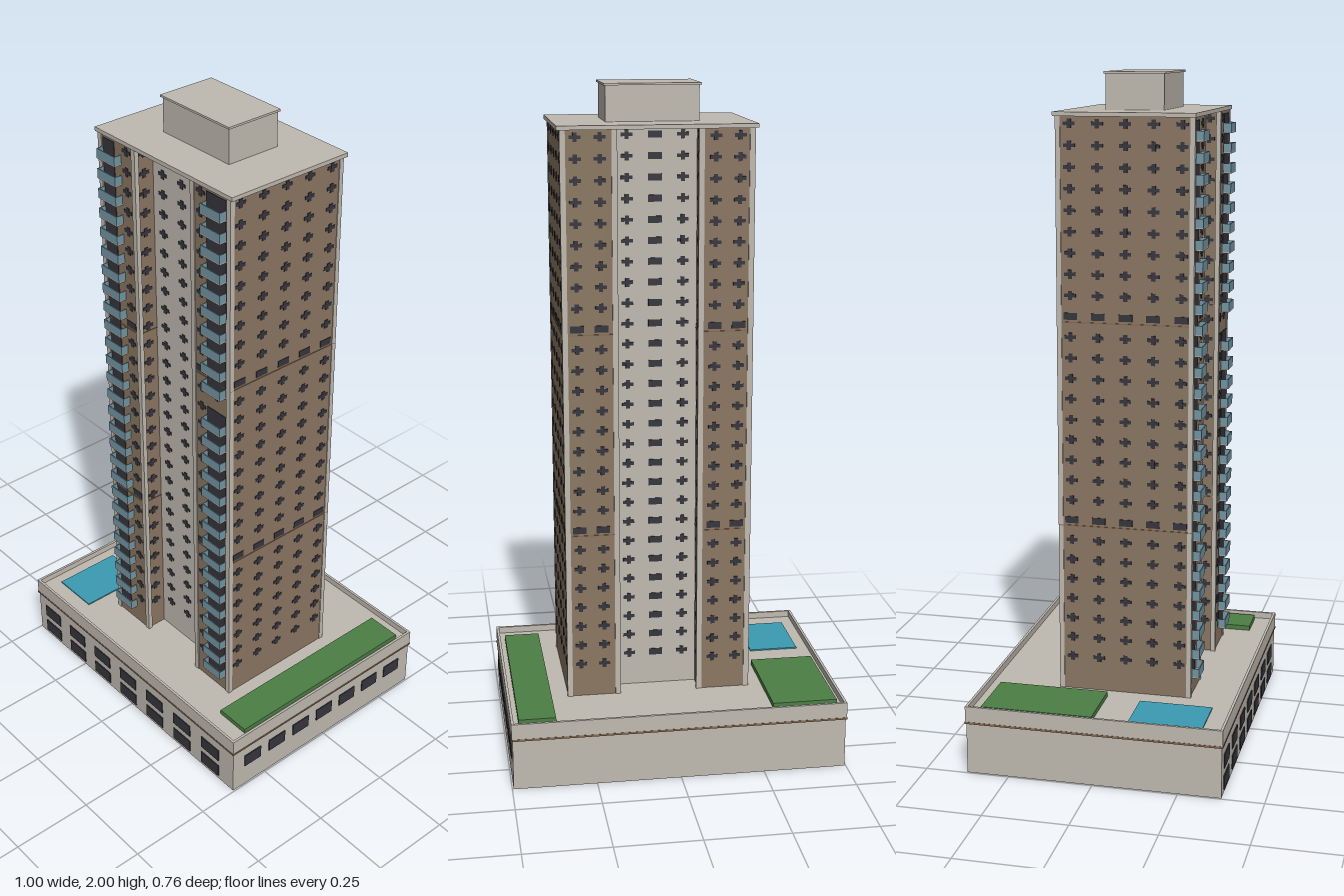
import * as THREE from 'three';
import { mergeGeometries } from 'three/addons/utils/BufferGeometryUtils.js';

const mat = (name, color, side = THREE.FrontSide) => {
  const m = new THREE.MeshStandardMaterial({ color, side });
  m.name = name;
  return m;
};

export function createModel() {
  const concrete = mat('pale concrete', 0xc0bab0);
  const brick = mat('brown cladding', 0x8b7762);
  const trim = mat('brown trim', 0x85694f);
  const dark = mat('dark window', 0x35353d);
  const glass = mat('balcony glass', 0x7396a3);
  const grass = mat('lawn green', 0x4d7f45);
  const water = mat('pool water', 0x3a9bb3);

  const model = new THREE.Group();
  model.name = 'residentialTower';

  // Box geometry from its extents
  const block = (x0, x1, y0, y1, z0, z1) =>
    new THREE.BoxGeometry(x1 - x0, y1 - y0, z1 - z0)
      .translate((x0 + x1) / 2, (y0 + y1) / 2, (z0 + z1) / 2);
  const add = (name, material, ...geos) => {
    const mesh = new THREE.Mesh(geos.length > 1 ? mergeGeometries(geos) : geos[0], material);
    mesh.name = name;
    model.add(mesh);
    return mesh;
  };
  const ring = (x, z, t, y0, y1) => [
    block(-x, x, y0, y1, z - t, z), block(-x, x, y0, y1, -z, -z + t),
    block(-x, -x + t, y0, y1, -z + t, z - t), block(x - t, x, y0, y1, -z + t, z - t),
  ];

  // Podium with trim band, parapet and garden deck
  add('podium', concrete, block(-0.496, 0.496, 0, 0.185, -0.376, 0.376));
  add('podiumBand', trim, ...ring(0.5, 0.38, 0.01, 0.152, 0.158));
  add('parapet', concrete, ...ring(0.499, 0.379, 0.008, 0.158, 0.205));
  add('largeLawn', grass, block(-0.477, -0.283, 0.185, 0.2, -0.338, -0.008 + 0.001));
  add('longLawn', grass, block(0.365, 0.475, 0.185, 0.2, -0.338, 0.313));
  add('pool', water, block(-0.455, -0.303, 0.185, 0.189, 0.096, 0.313));

  // Podium windows on the front and one side
  const podiumWindows = [];
  for (let i = -3; i <= 3; i++) {
    const x = -0.016 + i * 0.135, z = -i * 0.0995;
    for (const y of [0.033, 0.097])
      podiumWindows.push(block(x - 0.04, x + 0.04, y - 0.021, y + 0.021, 0.375, 0.379));
    podiumWindows.push(block(0.495, 0.499, 0.076, 0.118, z - 0.033, z + 0.033));
  }
  add('podiumWindows', dark, ...podiumWindows);

  // Tower: two clad wings joined by a recessed pale core
  const cx = 0.036, base = 0.185, top = 1.88;
  const front = 0.233, back = -0.161, coreFront = 0.168, coreBack = -0.096;
  const outer = 0.276, inner = 0.122;
  add('core', concrete, block(cx - inner, cx + inner, base, top, coreBack, coreFront));
  for (const s of [-1, 1]) {
    const xs = [cx + s * inner, cx + s * outer].sort((a, b) => a - b);
    add(s < 0 ? 'rightWing' : 'leftWing', brick, block(xs[0], xs[1], base, top, back, front));
    // Pale corner strips
    const strips = [];
    for (const d of [outer - 0.006, inner + 0.002])
      for (const z of [front - 0.004, back + 0.004])
        strips.push(block(cx + s * d - 0.008, cx + s * d + 0.008, base, top, z - 0.007, z + 0.007));
    add('cornerStrips', concrete, ...strips);
    // Thin ledges at the two service floors
    const ledges = [1.298, 0.693].map(y =>
      block(xs[0] - 0.002, xs[1] + 0.002, y - 0.0015, y + 0.0015, back - 0.002, front + 0.002));
    add('serviceLedges', trim, ...ledges);
  }

  // Roof slab and plant room
  add('roofSlab', concrete, block(-0.25, 0.323, top, 1.892, -0.17, 0.239));
  add('plantRoom', concrete, block(-0.1, 0.172, 1.892, 1.994, -0.053, 0.118));
  add('plantRoomRoof', concrete, block(-0.105, 0.177, 1.994, 2, -0.058, 0.123));

  // Window: a narrow pane crossed by a wide one, or a wide pane on service floors
  const floors = 27, pitch = 0.0605;
  const windowAt = (list, x, y, z, angle, wide) => {
    const panes = wide
      ? [new THREE.BoxGeometry(0.04, 0.02, 0.004)]
      : [new THREE.BoxGeometry(0.012, 0.026, 0.004), new THREE.BoxGeometry(0.034, 0.01, 0.0036)];
    for (const p of panes) list.push(p.rotateY(angle).translate(x, y, z));
  };

  const coreWindows = [], wingWindows = [], doors = [], slabs = [], rails = [];
  for (let f = 0; f < floors; f++) {
    const y = 1.86 - f * pitch;
    const wide = f === 9 || f === 19;
    // Core windows, front and back
    for (const dx of [-0.081, 0, 0.081]) {
      windowAt(coreWindows, cx + dx, y, coreFront, 0, false);
      windowAt(coreWindows, cx + dx, y, coreBack, 0, dx === 0);
    }
    for (const s of [-1, 1]) {
      // Side walls, recess walls, front and back of each wing
      for (let k = 0; k < 5; k++)
        windowAt(wingWindows, cx + s * outer, y, 0.2 - k * 0.081, Math.PI / 2, wide);
      for (const z of [0.2, -0.128])
        windowAt(wingWindows, cx + s * inner, y, z, Math.PI / 2, false);
      windowAt(wingWindows, cx + s * 0.156, y, front, 0, wide);
      for (const d of [0.165, 0.235])
        windowAt(wingWindows, cx + s * d, y, back, 0, wide);

      // Balconies, with one left out
      const x0 = s < 0 ? -0.222 : 0.216, x1 = x0 + 0.079, floor = y - 0.047;
      if (s > 0 && f === 10) {
        windowAt(wingWindows, (x0 + x1) / 2, y, front, 0, false);
        continue;
      }
      const doorEnd = s < 0 ? x0 + 0.05 : x1;
      doors.push(block(x0, doorEnd, floor + 0.004, floor + 0.058, front - 0.001, front + 0.002));
      slabs.push(block(x0, x1, floor, floor + 0.003, front, 0.257));
      rails.push(block(x0, x1, floor + 0.003, floor + 0.03, 0.254, 0.257));
      for (const x of [x0, x1 - 0.002])
        rails.push(block(x, x + 0.002, floor + 0.003, floor + 0.03, front, 0.254));
    }
  }
  add('coreWindows', dark, ...coreWindows);
  add('wingWindows', dark, ...wingWindows);
  add('balconyDoors', dark, ...doors);
  add('balconySlabs', concrete, ...slabs);
  add('balconyRails', glass, ...rails);

  return model;
}
